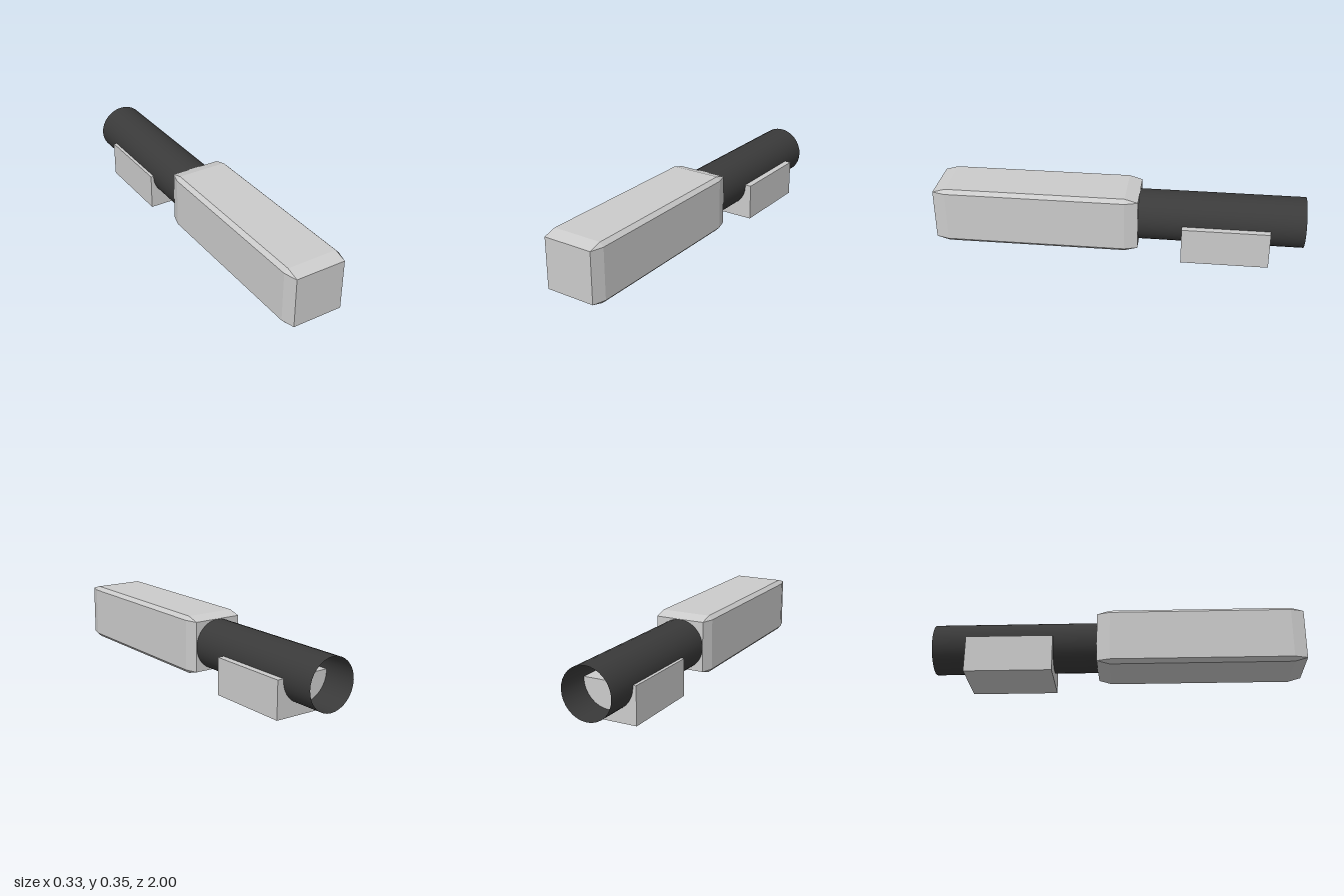
import * as THREE from 'three';
import { ConvexGeometry } from 'three/addons/geometries/ConvexGeometry.js';

const AXIS_X = -0.007, AXIS_Y = 0.193;

// Box with chamfered edges and corners: the hull of its six inset faces
function chamferedBox(w, h, d, cx, cy, cz) {
  const points = [];
  for (const x of [-1, 1]) for (const y of [-1, 1]) for (const z of [-1, 1]) {
    const ox = x * w / 2, oy = y * h / 2, oz = z * d / 2;
    const ix = ox - x * cx, iy = oy - y * cy, iz = oz - z * cz;
    points.push(
      new THREE.Vector3(ox, iy, iz),
      new THREE.Vector3(ix, oy, iz),
      new THREE.Vector3(ix, iy, oz));
  }
  return new ConvexGeometry(points);
}

export function createModel() {
  const model = new THREE.Group();
  const grey = new THREE.MeshStandardMaterial({ color: 0xcccccc, flatShading: true });
  const dark = new THREE.MeshStandardMaterial({ color: 0x3a3a3a, side: THREE.DoubleSide });

  const add = (name, geometry, material, x, y, z) => {
    const mesh = new THREE.Mesh(geometry, material);
    mesh.name = name;
    mesh.position.set(x, y, z);
    model.add(mesh);
    return mesh;
  };

  // Long chamfered body at the front
  add('body', chamferedBox(0.317, 0.316, 1.112, 0.0205, 0.0205, 0.07), grey, AXIS_X, AXIS_Y, 0.444);

  // Open thin-walled tube running back from the body
  const tube = new THREE.CylinderGeometry(0.137, 0.137, 0.888, 32, 1, true);
  tube.rotateX(Math.PI / 2);
  add('tube', tube, dark, AXIS_X, AXIS_Y, -0.556);

  // Block under the tube, passing through its lower half
  add('mountBlock', new THREE.BoxGeometry(0.325, 0.201, 0.468), grey, 0.002, 0.1005, -0.582);

  return model;
}
